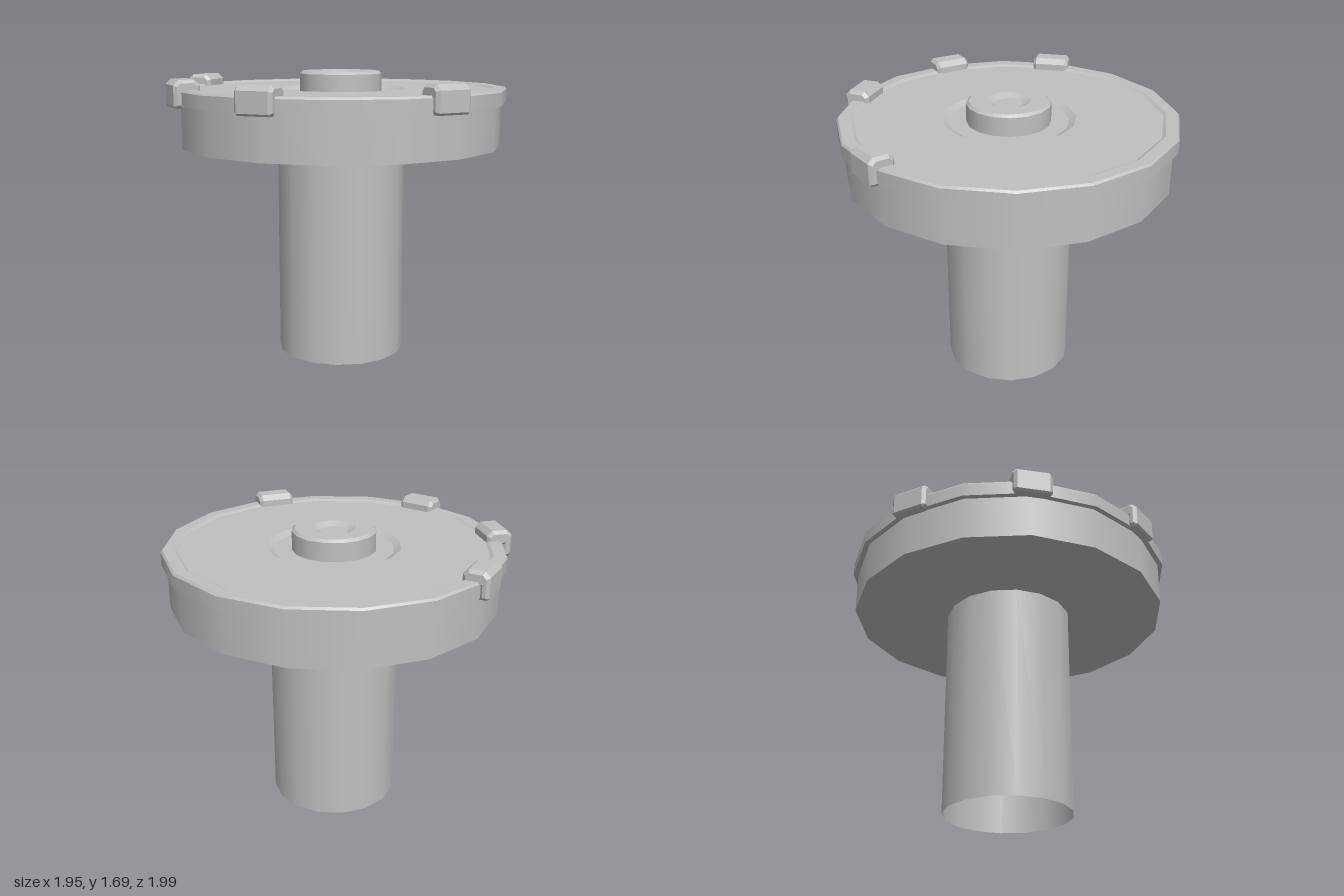
import * as THREE from 'three';
import { mergeGeometries } from 'three/addons/utils/BufferGeometryUtils.js';

const SIDES = 16;
const AXIS_Z = -0.02;

// Turned part: smooth around the axis, sharp between profile bands.
function turned(name, profile, material) {
  const bands = [];
  for (let i = 0; i < profile.length - 1; i++) {
    const pair = [profile[i], profile[i + 1]].map(([r, y]) => new THREE.Vector2(r, y));
    bands.push(new THREE.LatheGeometry(pair, SIDES));
  }
  const mesh = new THREE.Mesh(mergeGeometries(bands), material);
  mesh.name = name;
  mesh.position.z = AXIS_Z;
  return mesh;
}

// Chamfered hook that sits over the rim; local x points outward.
function lugGeometry() {
  const shape = new THREE.Shape([
    [0.02, 1.5], [0.063, 1.5], [0.075, 1.512], [0.075, 1.627], [0.045, 1.657],
    [-0.045, 1.657], [-0.075, 1.627], [-0.075, 1.57], [0.02, 1.57],
  ].map(([u, y]) => new THREE.Vector2(u, y)));
  const length = 0.22, bevel = 0.018;
  const geometry = new THREE.ExtrudeGeometry(shape, {
    depth: length - 2 * bevel, bevelEnabled: true, bevelSegments: 1,
    bevelSize: bevel, bevelThickness: bevel, bevelOffset: -bevel,
  });
  return geometry.translate(0, 0, -(length / 2 - bevel));
}

export function createModel() {
  const model = new THREE.Group();
  model.name = 'cappedColumn';
  const grey = new THREE.MeshStandardMaterial({ color: 0xc0c0c0 });
  grey.name = 'grey';
  grey.side = THREE.DoubleSide;

  // Hollow column, open at the foot
  model.add(turned('column', [[0.378, 0], [0.378, 1.26]], grey));

  // Head with overhanging rim and two shallow recesses on top
  model.add(turned('head', [
    [0, 1.26], [0.946, 1.26], [0.946, 1.512], [0.976, 1.512], [0.976, 1.588],
    [0.966, 1.6], [0.9, 1.6], [0.882, 1.59], [0.385, 1.59], [0.345, 1.568], [0, 1.568],
  ], grey));

  // Central button with a dished top
  model.add(turned('button', [
    [0.242, 1.56], [0.242, 1.677], [0.226, 1.692], [0.125, 1.692], [0.08, 1.672], [0, 1.672],
  ], grey));

  // Rim lugs: x, z and the outward direction in degrees from +x towards +z
  const geometry = lugGeometry();
  [
    [-0.393, -0.857, 238],
    [-0.862, -0.378, 198],
    [-0.855, 0.327, 156],
    [-0.092, 0.902, 101],
  ].forEach(([x, z, angle], i) => {
    const lug = new THREE.Mesh(geometry, grey);
    lug.name = `rimLug${i + 1}`;
    lug.position.set(x, 0, z);
    lug.rotation.y = -THREE.MathUtils.degToRad(angle);
    model.add(lug);
  });
  return model;
}
